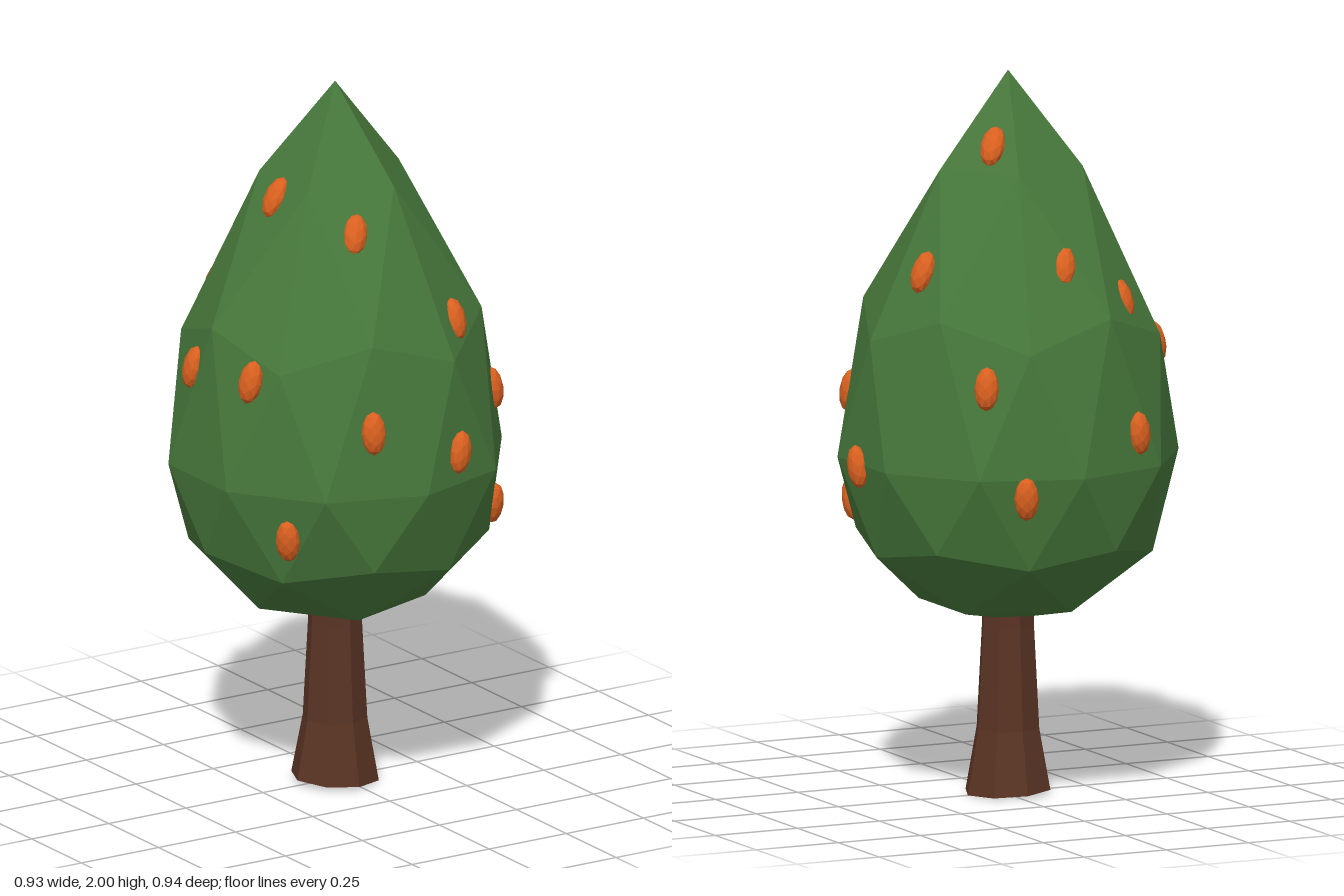
import * as THREE from 'three';

const AXIS_X = -0.016; // the tree axis sits slightly off the centre

function flatMaterial(name, color, side = THREE.FrontSide) {
  const m = new THREE.MeshStandardMaterial({ color, flatShading: true, side });
  m.name = name;
  return m;
}

function faceted(geometry) {
  const g = geometry.index ? geometry.toNonIndexed() : geometry;
  g.computeVertexNormals();
  return g;
}

// Crown: once-divided icosahedron, pole up, its rings moved to a teardrop profile
function crownGeometry() {
  const g = new THREE.IcosahedronGeometry(1, 1);
  g.rotateZ(-Math.atan(2 / (1 + Math.sqrt(5))));
  // unit-sphere height, final height, radius factor
  const rings = [
    [-1, 0.48, 1], [-0.851, 0.53, 1], [-0.526, 0.68, 1], [-0.447, 0.72, 1], [0, 0.94, 1],
    [0.447, 1.28, 1], [0.526, 1.36, 1], [0.851, 1.74, 0.835], [1, 2, 1],
  ];
  const p = g.attributes.position;
  for (let i = 0; i < p.count; i++) {
    const y = p.getY(i);
    const ring = rings.reduce((a, b) => (Math.abs(b[0] - y) < Math.abs(a[0] - y) ? b : a));
    const r = 0.47 * ring[2];
    p.setXYZ(i, p.getX(i) * r, ring[1], p.getZ(i) * r);
  }
  return faceted(g);
}

// Trunk: eight-sided, hollow below, flared foot with a slightly slanted rim
function trunkGeometry() {
  const profile = [[0.122, 0.008], [0.09, 0.18], [0.075, 0.46], [0.073, 0.6]];
  const g = new THREE.LatheGeometry(profile.map(([r, y]) => new THREE.Vector2(r, y)), 8);
  const p = g.attributes.position;
  for (let i = 0; i < p.count; i++) {
    if (p.getY(i) < 0.1) p.setY(i, 0.0075 - 0.06 * p.getX(i));
  }
  return faceted(g);
}

// Fruit: x, y, z and tilt in degrees
const FRUITS = [
  [-0.09, 1.63, 0.215, -12], [0.17, 1.37, 0.315, -12], [-0.155, 1.125, 0.41, 0],
  [0.113, 1.03, 0.43, -14], [-0.35, 0.815, 0.28, 0], [0.33, 0.8, 0.26, 8],
  [0.363, 1.11, 0.207, 0], [-0.4, 1.25, 0.17, -5], [0.437, 0.935, 0.01, 15],
  [-0.425, 1.23, -0.08, 0], [-0.21, 1.7, 0, 5], [0.295, 1.48, -0.103, 0],
  [0.078, 1.81, -0.095, 0], [0.225, 1.19, -0.353, 0], [0.14, 0.89, -0.427, 0],
  [-0.04, 1.5, -0.295, -15], [-0.23, 1.39, -0.27, -5], [-0.22, 1.04, -0.395, 0],
];

export function createModel() {
  const tree = new THREE.Group();
  tree.name = 'fruitTree';
  const leafGreen = flatMaterial('leafGreen', 0x47783b);
  const barkBrown = flatMaterial('barkBrown', 0x5a3424, THREE.DoubleSide);
  const fruitOrange = flatMaterial('fruitOrange', 0xd9601f);

  const crown = new THREE.Mesh(crownGeometry(), leafGreen);
  crown.name = 'crown';
  const trunk = new THREE.Mesh(trunkGeometry(), barkBrown);
  trunk.name = 'trunk';
  for (const part of [crown, trunk]) {
    part.position.x = AXIS_X;
    tree.add(part);
  }

  // Oval fruits lie flat against the slope of the crown
  const fruits = new THREE.Group();
  fruits.name = 'fruits';
  const fruitShape = new THREE.IcosahedronGeometry(1, 1).scale(0.034, 0.06, 0.028);
  faceted(fruitShape);
  FRUITS.forEach(([x, y, z, tilt], i) => {
    const fruit = new THREE.Mesh(fruitShape, fruitOrange);
    fruit.name = `fruit${i + 1}`;
    fruit.position.set(x, y, z);
    const outward = new THREE.Vector3(x - AXIS_X, 0, z).normalize();
    outward.y = (y - 0.95) * 0.85;
    fruit.lookAt(outward.add(fruit.position));
    fruit.rotateZ(THREE.MathUtils.degToRad(tilt));
    fruits.add(fruit);
  });
  tree.add(fruits);
  return tree;
}
